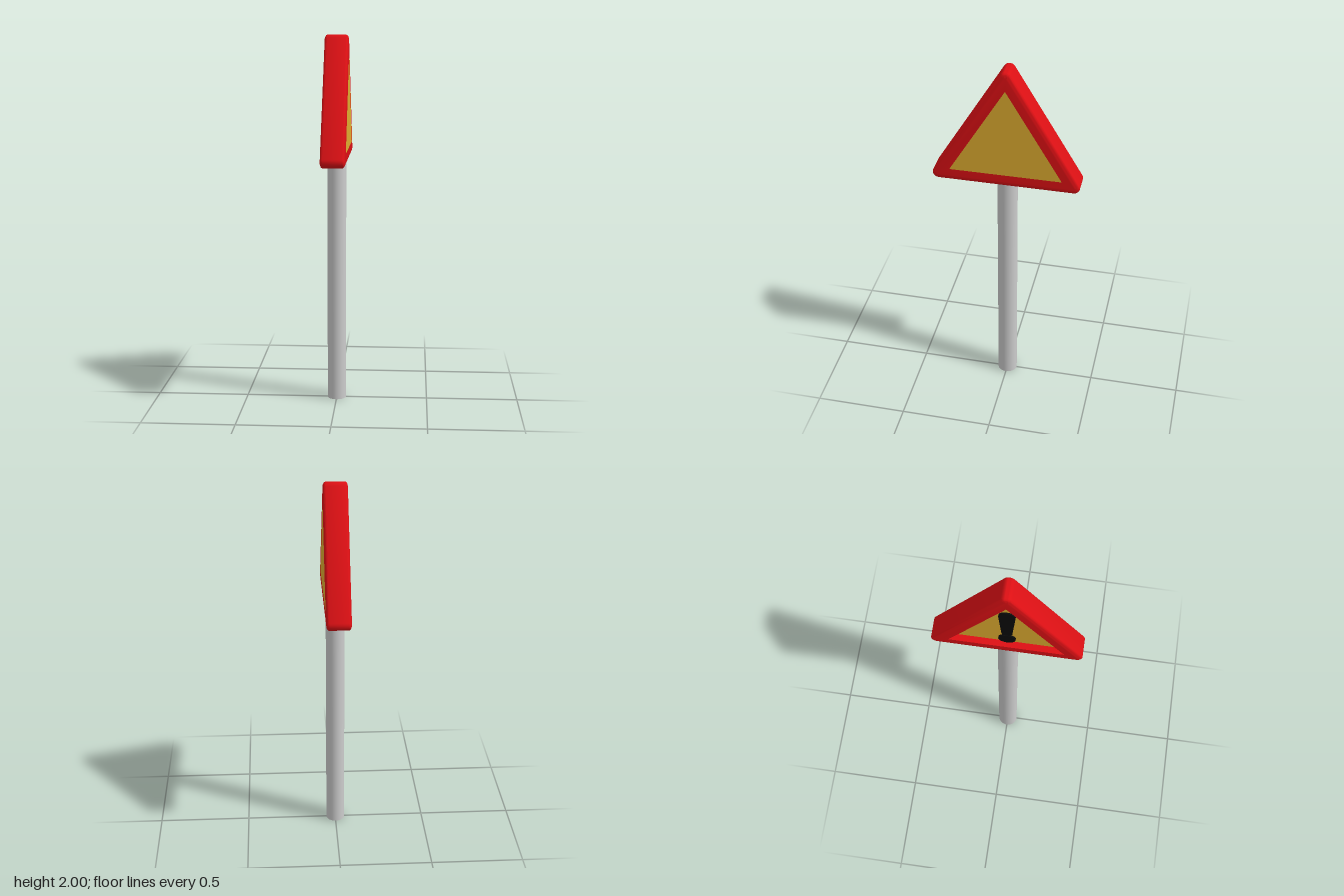
import * as THREE from 'three';
import { toCreasedNormals } from 'three/addons/utils/BufferGeometryUtils.js';

const paint = (color, side = THREE.FrontSide) => new THREE.MeshStandardMaterial({ color, side });

const ARC = 8;                                    // segments per rounded corner
const SLOPE = Math.atan(0.6);                     // direction the slanted sides face
const CORES = [[0.362, 1.365], [0, 1.968], [-0.362, 1.365]];   // corner arc centres
const INNER = [[0.3, 1.4], [0, 1.9], [-0.3, 1.4]];             // yellow triangle
const STARTS = [-Math.PI / 2, SLOPE, Math.PI - SLOPE, Math.PI * 1.5];

// triangle loop at depth x, with corners rounded by radius r
function ring(corners, r, x) {
  const pts = [];
  corners.forEach(([u, y], c) => {
    for (let i = 0; i <= ARC; i++) {
      const a = THREE.MathUtils.lerp(STARTS[c], STARTS[c + 1], i / ARC);
      pts.push([x, y + r * Math.sin(a), -(u + r * Math.cos(a))]);
    }
  });
  return pts;
}

// skin a list of equal-length closed loops
function loft(rings) {
  const n = rings[0].length, index = [];
  for (let k = 0; k < rings.length - 1; k++) {
    for (let i = 0; i < n; i++) {
      const j = (i + 1) % n, a = k * n, b = a + n;
      index.push(a + i, b + i, b + j, a + i, b + j, a + j);
    }
  }
  const g = new THREE.BufferGeometry();
  g.setAttribute('position', new THREE.Float32BufferAttribute(rings.flat(2), 3));
  g.setIndex(index);
  return toCreasedNormals(g, 0.6);
}

function frameGeometry() {
  const half = 0.065, bevel = 0.028, drop = 0.014, steps = 5;
  const edge = [];                                // rounded rim, from face to side wall
  for (let i = 0; i <= steps; i++) {
    const t = (i / steps) * Math.PI / 2;
    edge.push([0.004 + bevel * Math.sin(t), half - drop * (1 - Math.cos(t))]);
  }
  return loft([
    ring(INNER, 0, half),
    ...edge.map(([r, x]) => ring(CORES, r, x)),
    ...edge.slice().reverse().map(([r, x]) => ring(CORES, r, -x)),
    ring(INNER, 0, -half),
    ring(INNER, 0, -0.03),                        // wall of the recess
  ]);
}

export function createModel() {
  const group = new THREE.Group();
  const add = (name, geometry, material) => {
    const mesh = new THREE.Mesh(geometry, material);
    mesh.name = name;
    group.add(mesh);
    return mesh;
  };

  // post, very slightly oval
  const post = add('post', new THREE.CylinderGeometry(0.051, 0.051, 1.35, 32), paint(0xcccccc));
  post.position.y = 0.675;
  post.scale.z = 1.06;

  // red surround
  add('frame', frameGeometry(), paint(0xdd1014));

  // yellow panels: flush on one face, recessed on the other
  const triangle = new THREE.Shape(INNER.map(([u, y]) => new THREE.Vector2(u, y)));
  const yellow = paint(0xdfac30);
  add('flushPanel', new THREE.ShapeGeometry(triangle).rotateY(Math.PI / 2).translate(0.065, 0, 0), yellow);
  add('recessedPanel', new THREE.ShapeGeometry(triangle).rotateY(-Math.PI / 2).translate(-0.03, 0, 0), yellow);

  // warning mark: tapered bar and dot
  const bar = new THREE.Shape();
  bar.absarc(0, 1.735, 0.043, 0, Math.PI, false);
  bar.absarc(0, 1.523, 0.028, Math.PI, Math.PI * 2, false);
  bar.closePath();
  const dot = new THREE.Shape();
  dot.absarc(0, 1.445, 0.045, 0, Math.PI * 2, false);
  const black = paint(0x0a0a0a);
  [['markBar', bar], ['markDot', dot]].forEach(([name, shape]) => {
    const g = new THREE.ExtrudeGeometry(shape, { depth: 0.01, bevelEnabled: false, curveSegments: 16 });
    add(name, toCreasedNormals(g.rotateY(-Math.PI / 2).translate(-0.029, 0, 0), 0.6), black);
  });

  return group;
}
